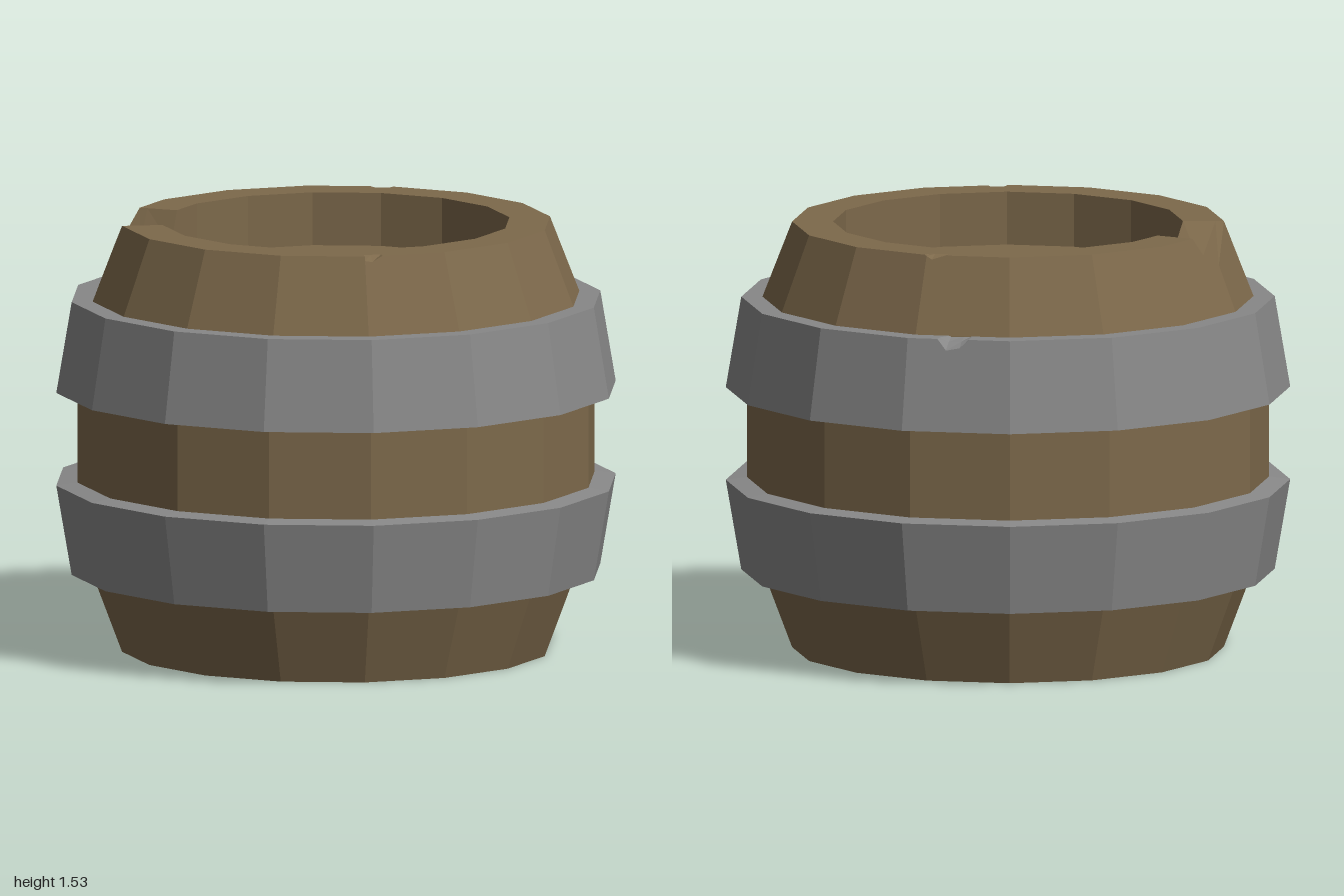
import * as THREE from 'three';

const wood = new THREE.MeshStandardMaterial({ color: 0x7d694b, flatShading: true });
wood.name = 'wood brown';
const iron = new THREE.MeshStandardMaterial({ color: 0x888888, flatShading: true });
iron.name = 'iron grey';

const SIDES = 16, STEP = 360 / SIDES;

// Piecewise-linear lookup through [angle, value] pairs, zero outside them
function ramp(deg, keys) {
  for (let i = 0; i < keys.length - 1; i++) {
    const [a, va] = keys[i], [b, vb] = keys[i + 1];
    if (deg >= a && deg <= b) return va + (vb - va) * (deg - a) / (b - a);
  }
  return 0;
}

// Sweeps a profile of [radius, y] points round a 16-sided ring.
// Extra angles cut the flat sides where chips begin and end.
function sweep(name, material, profileAt, extraAngles) {
  const angles = [...extraAngles];
  for (let i = 0; i <= SIDES; i++) angles.push(i * STEP);
  angles.sort((a, b) => a - b);
  const rad = Math.PI / 180;
  const rows = angles.map((deg) => {
    const side = Math.min(Math.floor(deg / STEP), SIDES - 1);
    const flat = Math.cos(STEP / 2 * rad) / Math.cos((deg - (side + 0.5) * STEP) * rad);
    return profileAt(deg).map(([r, y]) => new THREE.Vector3(
      Math.sin(deg * rad) * r * flat, y, Math.cos(deg * rad) * r * flat));
  });
  const pos = [];
  const tri = (...pts) => {
    const [a, b, c] = pts;
    if (a.distanceTo(b) < 1e-6 || b.distanceTo(c) < 1e-6 || c.distanceTo(a) < 1e-6) return;
    pts.forEach((p) => pos.push(p.x, p.y, p.z));
  };
  for (let j = 0; j < rows.length - 1; j++) {
    for (let i = 0; i < rows[j].length - 1; i++) {
      const a = rows[j][i], b = rows[j + 1][i], c = rows[j + 1][i + 1], d = rows[j][i + 1];
      tri(a, b, c);
      tri(a, c, d);
    }
  }
  const geo = new THREE.BufferGeometry();
  geo.setAttribute('position', new THREE.Float32BufferAttribute(pos, 3));
  geo.computeVertexNormals();
  const mesh = new THREE.Mesh(geo, material);
  mesh.name = name;
  return mesh;
}

export function createModel() {
  const barrel = new THREE.Group();
  barrel.name = 'barrel';

  // Wooden body with recessed ends, a broken stave and two small rim chips
  const brokenStave = [[240, 0], [244.5, 0.12], [270, 0]];
  const rimChips = [[0, 0.015], [2, 0.02], [5, 0], [157, 0], [159, 0.015], [163, 0]];
  const bodyProfile = (deg) => {
    const drop = ramp(deg, brokenStave);
    const edge = drop + ramp(deg, rimChips);
    return [
      [0, 0.15], [0.62, 0.15], [0.62, 0],
      [0.765, 0], [0.87, 0.28], [0.925, 0.5], [0.925, 1.04], [0.87, 1.26],
      [0.765 + edge * 0.39, 1.53 - edge], [0.735, 1.53 - drop], [0.62, 1.53 - drop],
      [0.62, 1.34], [0, 1.34],
    ];
  };
  barrel.add(sweep('body', wood, bodyProfile, [2, 5, 157, 159, 163, 240, 244.5]));

  // Upper iron hoop with a nick in its top edge at the back
  const nick = [[164, 0], [166, 0.04], [169, 0.03], [171, 0]];
  barrel.add(sweep('upperHoop', iron, (deg) => {
    const d = ramp(deg, nick);
    return [[0.9, 0.92], [1, 0.935], [0.945 + d * 0.17, 1.26 - d], [0.91, 1.26 - d * 0.4], [0.86, 1.26]];
  }, [164, 166, 169, 171]));

  // Lower iron hoop, flaring upwards
  barrel.add(sweep('lowerHoop', iron,
    () => [[0.86, 0.28], [0.945, 0.28], [1, 0.602], [0.9, 0.615]], []));

  return barrel;
}
